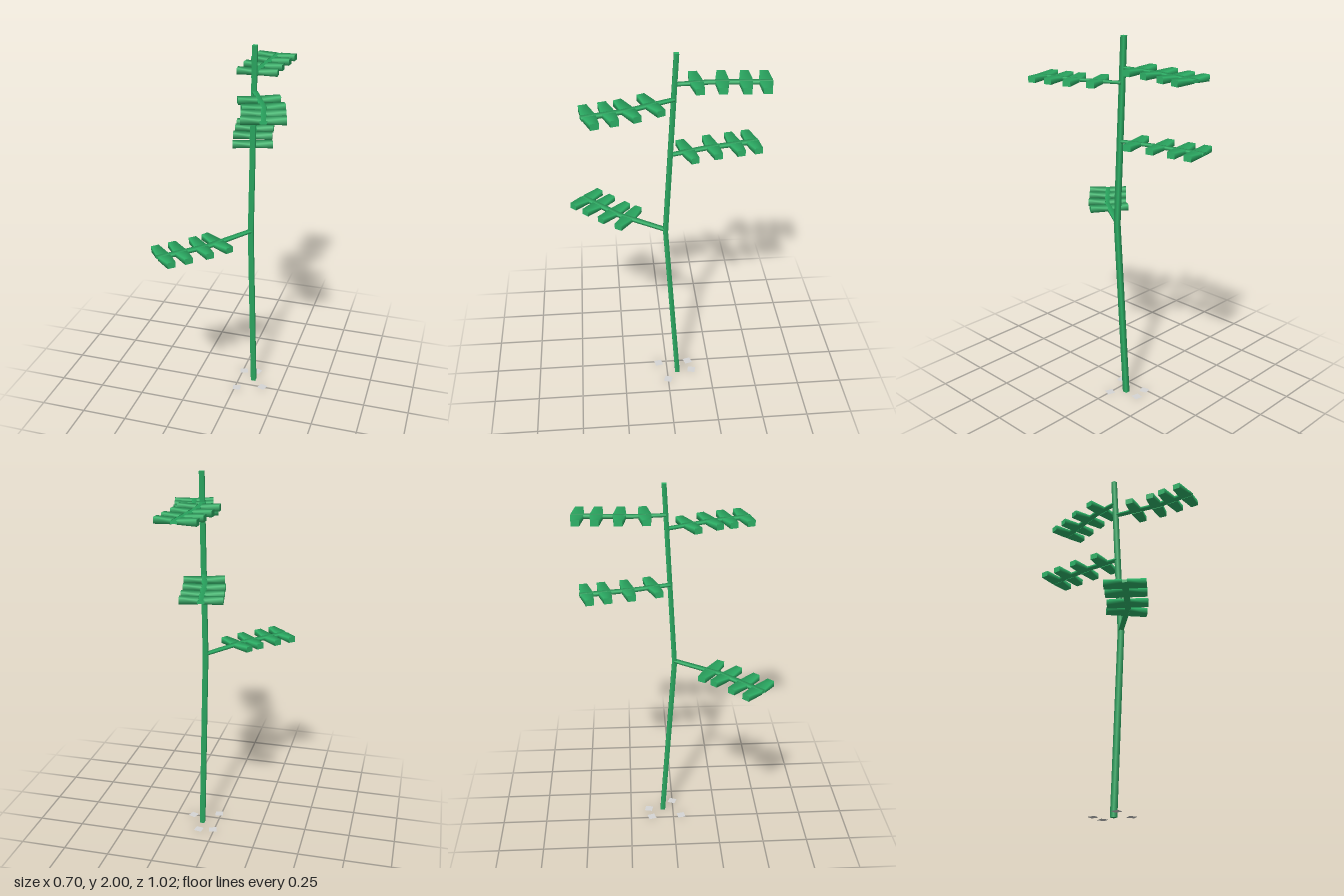
import * as THREE from 'three';

const UP = new THREE.Vector3(0, 1, 0);

// Four-sided tube with soft radial shading; each ring: { p, d, u, w, h }
// (centre, direction, width axis, half width, half height).
function loft(rings) {
  const pos = [], nor = [], idx = [];
  const addRing = ({ p, d, u, w, h }, capNormal) => {
    const v = d.clone().cross(u);
    const start = pos.length / 3;
    for (const [a, b] of [[1, 1], [-1, 1], [-1, -1], [1, -1]]) {
      const q = p.clone().addScaledVector(u, a * w).addScaledVector(v, b * h);
      const n = capNormal || u.clone().multiplyScalar(a).addScaledVector(v, b).normalize();
      pos.push(q.x, q.y, q.z);
      nor.push(n.x, n.y, n.z);
    }
    return start;
  };
  const starts = rings.map((ring) => addRing(ring));
  for (let i = 0; i < rings.length - 1; i++) {
    for (let j = 0; j < 4; j++) {
      const k = (j + 1) % 4;
      const a = starts[i], b = starts[i + 1];
      idx.push(a + j, a + k, b + k, a + j, b + k, b + j);
    }
  }
  // flat end caps
  const first = rings[0], last = rings[rings.length - 1];
  const s = addRing(first, first.d.clone().negate()), e = addRing(last, last.d);
  idx.push(s, s + 2, s + 1, s, s + 3, s + 2, e, e + 1, e + 2, e, e + 2, e + 3);

  const g = new THREE.BufferGeometry();
  g.setAttribute('position', new THREE.Float32BufferAttribute(pos, 3));
  g.setAttribute('normal', new THREE.Float32BufferAttribute(nor, 3));
  g.setIndex(idx);
  return g;
}

const sideOf = (d) => UP.clone().cross(d).normalize();

export function createModel() {
  const model = new THREE.Group();
  const green = new THREE.MeshStandardMaterial({ color: 0x2eb368 });
  green.name = 'leaf green';
  const grey = new THREE.MeshStandardMaterial({ color: 0xd6d6d6, side: THREE.DoubleSide });
  grey.name = 'light grey';

  const add = (parent, name, geometry, material) => {
    const mesh = new THREE.Mesh(geometry, material);
    mesh.name = name;
    parent.add(mesh);
    return mesh;
  };

  // stem, bent at half height
  const stem = [[0.085, 0, -0.06, 0.0135], [0.08, 1, 0.01, 0.013], [0.08, 2, -0.042, 0.012]];
  add(model, 'stem', loft(stem.map(([x, y, z, r]) => ({
    p: new THREE.Vector3(x, y, z), d: UP, u: new THREE.Vector3(1, 0, 0), w: r, h: r,
  }))), green);

  // branches: height, bent path as [x, z], leaf pairs as [segment, fraction]
  const branches = [
    { y: 1.01, path: [[0.08, 0.01], [-0.08, 0.245], [-0.285, 0.445]],
      leaves: [[0, 0.81], [1, 0.15], [1, 0.56], [1, 0.89]] },
    { y: 1.46, path: [[0.08, -0.015], [0.025, -0.2], [-0.03, -0.48]],
      leaves: [[0, 0.48], [1, 0.125], [1, 0.55], [1, 0.875]] },
    { y: 1.765, path: [[0.085, -0.03], [0.192, 0.205], [0.25, 0.42]],
      leaves: [[0, 0.49], [0, 0.98], [1, 0.40], [1, 0.83]] },
    { y: 1.84, path: [[0.075, -0.034], [0.063, -0.2], [0.086, -0.51]],
      leaves: [[0, 0.64], [1, 0.21], [1, 0.58], [1, 0.89]] },
  ];

  for (const { y, path, leaves } of branches) {
    const branch = new THREE.Group();
    branch.name = 'branch';
    model.add(branch);
    const pts = path.map(([x, z]) => new THREE.Vector3(x, y, z));
    const dirs = [0, 1].map((i) => pts[i + 1].clone().sub(pts[i]).normalize());
    const tangents = [dirs[0], dirs[0].clone().add(dirs[1]).normalize(), dirs[1]];

    // flattened twig
    add(branch, 'twig', loft(pts.map((p, i) => ({
      p, d: tangents[i], u: sideOf(tangents[i]), w: 0.013 + 0.002 * i, h: 0.006 + 0.001 * i,
    }))), green);

    // mirrored leaves from the twig's edges, broad at the root, narrow and thick at the tip
    for (const [seg, t] of leaves) {
      const centre = pts[seg].clone().lerp(pts[seg + 1], t);
      for (const sign of [1, -1]) {
        const d = sideOf(dirs[seg]).multiplyScalar(sign);
        const u = sideOf(d);
        add(branch, 'leaf', loft([
          { p: centre.clone().addScaledVector(d, 0.012), d, u, w: 0.033, h: 0.01 },
          { p: centre.clone().addScaledVector(d, 0.106), d, u, w: 0.021, h: 0.016 },
        ]), green);
      }
    }
  }

  // flat ground chips around the foot: x, z, turn
  const chips = [[0.154, 0, -0.37], [0.012, 0.046, 0.21], [0.085, -0.143, -0.2], [0.007, -0.128, 0.3]];
  for (const [x, z, turn] of chips) {
    const geometry = new THREE.PlaneGeometry(0.043, 0.043).rotateX(-Math.PI / 2);
    const chip = add(model, 'groundChip', geometry, grey);
    chip.position.set(x, 0.002, z);
    chip.rotation.y = turn;
  }

  return model;
}
